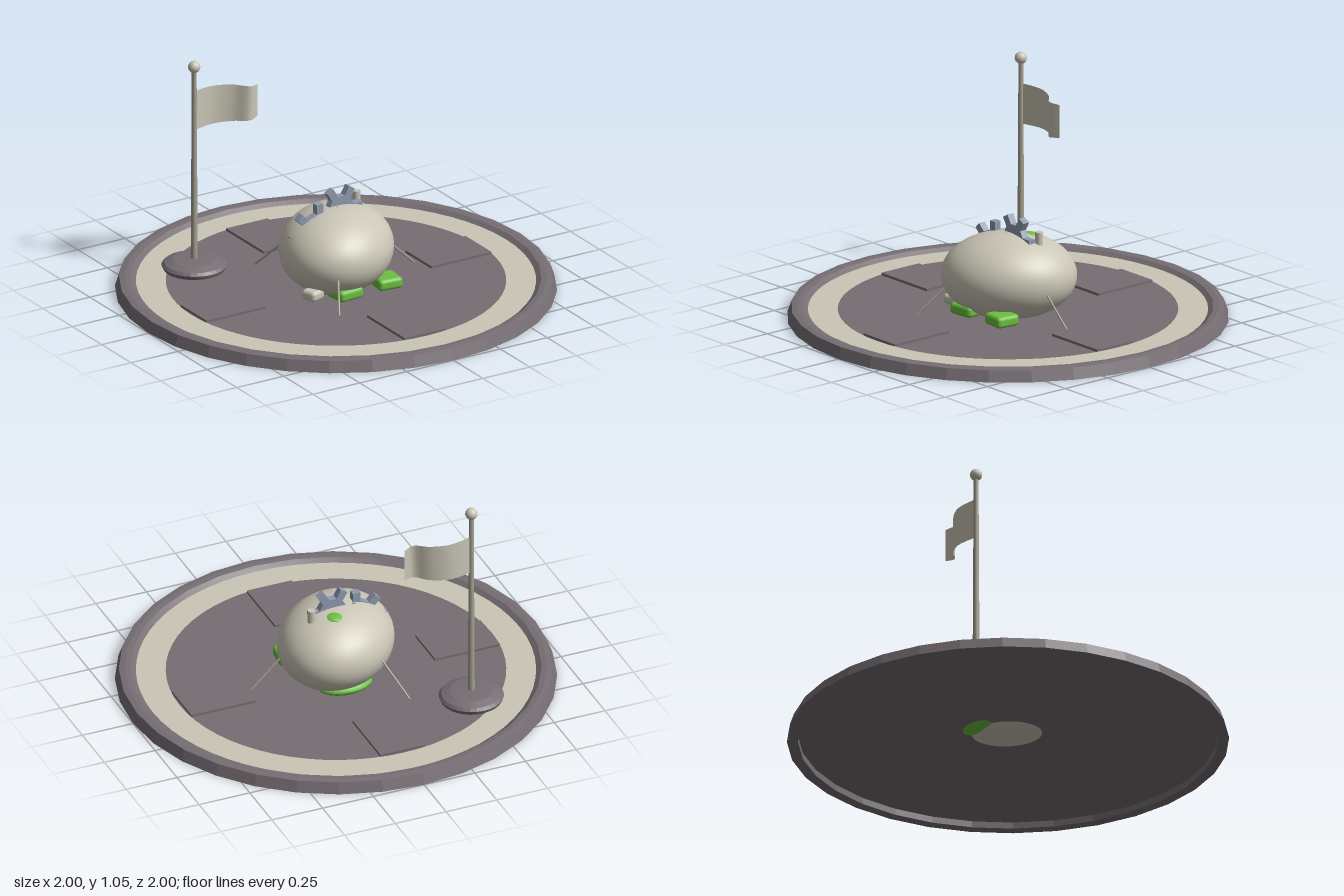
import * as THREE from 'three';
import { toCreasedNormals } from 'three/addons/utils/BufferGeometryUtils.js';
import { RoundedBoxGeometry } from 'three/addons/geometries/RoundedBoxGeometry.js';

const material = (name, color, side = THREE.FrontSide) => {
  const m = new THREE.MeshStandardMaterial({ color, side });
  m.name = name;
  return m;
};

export function createModel() {
  const pale = material('pale stone', 0xcac6b6, THREE.DoubleSide);
  const dark = material('dark stone', 0x766e73);
  const metal = material('dull metal', 0xa5a192);
  const blue = material('blue steel', 0x8f9bb0);
  const green = material('moss green', 0x6cc040);

  const model = new THREE.Group();
  const add = (name, geometry, mat, x = 0, y = 0, z = 0) => {
    const mesh = new THREE.Mesh(geometry, mat);
    mesh.name = name;
    mesh.position.set(x, y, z);
    model.add(mesh);
    return mesh;
  };
  const lathe = (points, segments) => toCreasedNormals(
    new THREE.LatheGeometry(points.map(p => new THREE.Vector2(...p)), segments), 0.15);
  const rod = (name, a, b, r) => {
    const mesh = add(name, new THREE.CylinderGeometry(r, r, a.distanceTo(b), 8), metal);
    mesh.position.copy(a).lerp(b, 0.5);
    mesh.quaternion.setFromUnitVectors(new THREE.Vector3(0, 1, 0), b.clone().sub(a).normalize());
  };

  // Round platform with raised bevelled rim
  add('platform', lathe([
    [0, 0.03], [0.95, 0.03], [0.95, 0], [1, 0], [0.982, 0.052], [0.955, 0.056],
    [0.93, 0.054], [0.905, 0.036], [0, 0.036],
  ], 32), dark);

  // Pale painted ring on the floor
  const ring = add('floorRing', new THREE.RingGeometry(0.77, 0.905, 64), pale, 0, 0.039, 0);
  ring.rotation.x = -Math.PI / 2;

  // Four floor pads
  for (let i = 0; i < 4; i++) {
    const a = i * Math.PI / 2;
    const pad = add('floorPad', new THREE.BoxGeometry(0.32, 0.018, 0.22), dark,
      0.6 * Math.cos(a), 0.039, -0.6 * Math.sin(a));
    pad.rotation.y = a;
  }

  // Egg-like body, longest along the diagonal
  const body = add('body', new THREE.SphereGeometry(1, 48, 32), pale, 0.003, 0.201, -0.003);
  body.scale.set(0.309, 0.2, 0.259);
  body.rotation.y = Math.PI / 4;

  // Gears half sunk into the shell
  const gear = (name, x, y, z, teeth, inner, outer, phase) => {
    const shape = new THREE.Shape();
    const half = 0.018;
    for (let i = 0; i < teeth; i++) {
      const a = phase + i * 2 * Math.PI / teeth;
      const corners = [[inner, -half], [outer, -half], [outer, half], [inner, half]];
      corners.forEach(([r, t], k) => {
        const px = r * Math.cos(a) - t * Math.sin(a);
        const py = r * Math.sin(a) + t * Math.cos(a);
        if (i + k === 0) shape.moveTo(px, py); else shape.lineTo(px, py);
      });
    }
    const geo = new THREE.ExtrudeGeometry(shape, { depth: 0.034, bevelEnabled: false });
    geo.translate(0, 0, -0.017);
    add(name, geo, blue, x, y, z);
  };
  gear('topGear', 0.032, 0.375, -0.021, 6, 0.066, 0.112, 0);
  gear('sideGear', -0.093, 0.283, -0.003, 8, 0.105, 0.15, 0);

  // Little chimney and moss patch
  add('chimney', new THREE.CylinderGeometry(0.018, 0.018, 0.1, 12), pale, 0.147, 0.375, -0.06);
  const moss = add('mossPatch', new THREE.SphereGeometry(1, 16, 10), green, 0.046, 0.379, -0.085);
  moss.scale.set(0.042, 0.016, 0.045);

  // Lumps under the body
  const lump = (name, mat, size, x, y, z, turn) => {
    add(name, new RoundedBoxGeometry(...size, 2, 0.018), mat, x, y, z).rotation.y = turn;
  };
  lump('frontMossLump', green, [0.13, 0.054, 0.12], -0.065, 0.062, 0.18, 0.1);
  lump('leftMossLump', green, [0.12, 0.054, 0.12], 0.16, 0.062, 0.17, -0.1);
  lump('stoneLump', pale, [0.08, 0.05, 0.08], -0.21, 0.067, 0.14, 0.3);
  add('backMossLump', new THREE.SphereGeometry(1, 20, 12), green, 0.02, 0.055, -0.15)
    .scale.set(0.13, 0.035, 0.08);

  // Three splayed struts
  for (let i = 0; i < 3; i++) {
    const a = i * 2 * Math.PI / 3;
    const at = (r, y) => new THREE.Vector3(r * Math.cos(a), y, r * Math.sin(a));
    rod('strut', at(0.26, 0.183), at(0.415, 0.036), 0.005);
  }

  // Flagpole on a domed foot
  const px = -0.465, pz = -0.465;
  add('poleFoot', lathe([
    [0, 0.03], [0.138, 0.03], [0.148, 0.055], [0.137, 0.068], [0.1, 0.082], [0.05, 0.087], [0, 0.087],
  ], 28), dark, px, 0, pz);
  add('pole', new THREE.CylinderGeometry(0.011, 0.016, 0.96, 12), metal, px, 0.54, pz);
  add('poleBall', new THREE.SphereGeometry(0.028, 20, 14), pale, px, 1.022, pz);

  // Waving flag, narrowing slightly to the free end
  const wave = new THREE.CatmullRomCurve3([
    [-0.46, -0.467], [-0.4, -0.482], [-0.34, -0.486], [-0.26, -0.458], [-0.2, -0.412], [-0.15, -0.43],
  ].map(([x, z]) => new THREE.Vector3(x, 0, z)));
  const flag = new THREE.PlaneGeometry(1, 1, 16, 1);
  const pos = flag.attributes.position;
  for (let i = 0; i < pos.count; i++) {
    const t = pos.getX(i) + 0.5;
    const p = wave.getPoint(t);
    pos.setXYZ(i, p.x, 0.806 - 0.004 * t + pos.getY(i) * (0.19 - 0.035 * t * t), p.z);
  }
  flag.computeVertexNormals();
  add('flag', flag, pale);

  return model;
}
